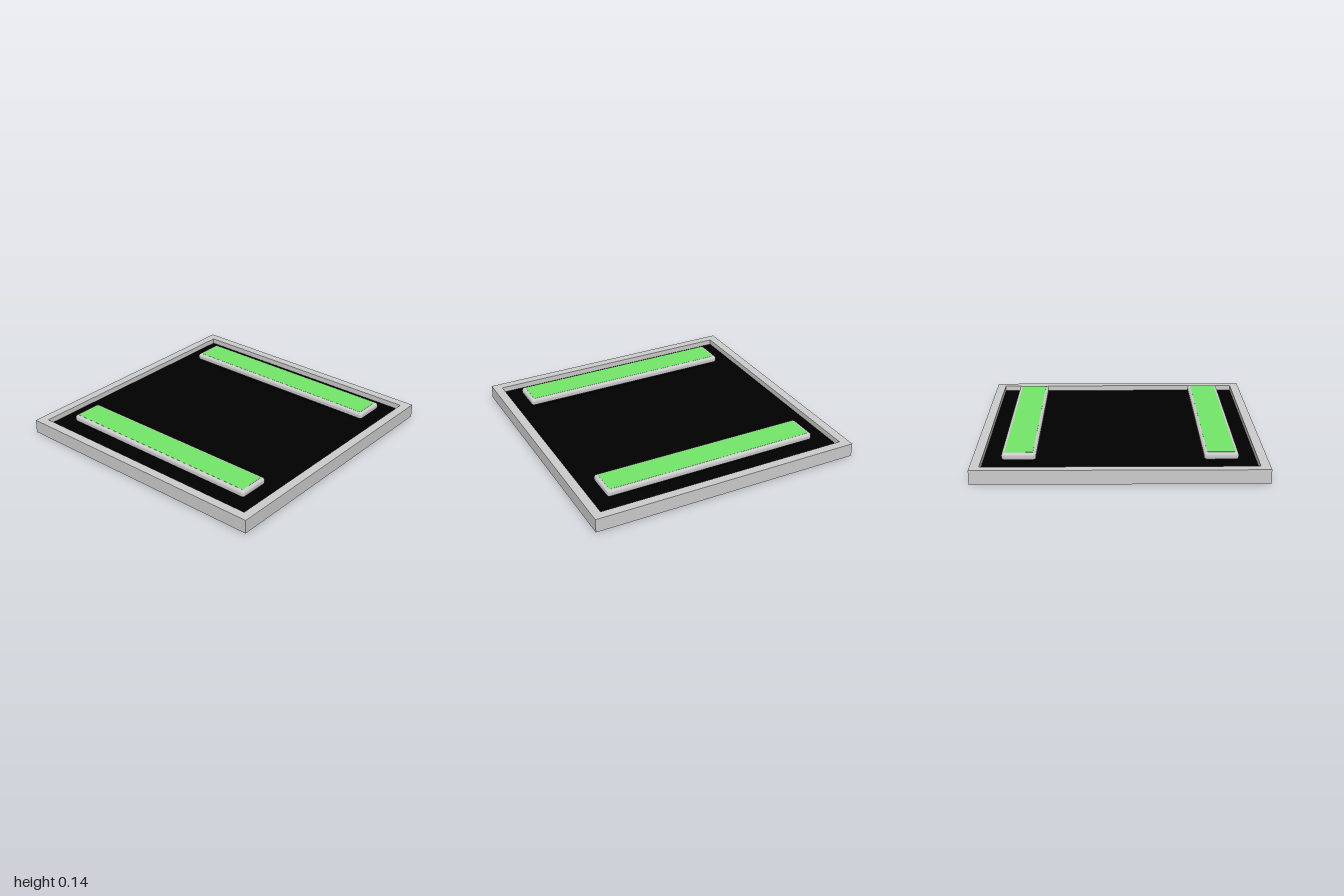
import * as THREE from 'three';

const grey = new THREE.MeshStandardMaterial({ color: 0xcccccc });
const black = new THREE.MeshStandardMaterial({ color: 0x000000 });
const green = new THREE.MeshStandardMaterial({ color: 0x73e668 });

// Rectangle outline with optional rounded corners
function rect(Type, w, d, r = 0) {
  const p = new Type(), x = w / 2, y = d / 2;
  p.moveTo(-x + r, -y);
  p.lineTo(x - r, -y);
  if (r) p.absarc(x - r, -y + r, r, -Math.PI / 2, 0);
  p.lineTo(x, y - r);
  if (r) p.absarc(x - r, y - r, r, 0, Math.PI / 2);
  p.lineTo(-x + r, y);
  if (r) p.absarc(-x + r, y - r, r, Math.PI / 2, Math.PI);
  p.lineTo(-x, -y + r);
  if (r) p.absarc(-x + r, -y + r, r, Math.PI, Math.PI * 1.5);
  p.closePath();
  return p;
}

function add(parent, name, geometry, material, x, y, z) {
  const mesh = new THREE.Mesh(geometry, material);
  mesh.name = name;
  mesh.position.set(x, y, z);
  parent.add(mesh);
  return mesh;
}

export function createModel() {
  const model = new THREE.Group();
  model.name = 'lightPanel';
  const height = 0.1, floorY = 0.06, inner = 1.87;

  // Square tray: raised rim around a solid base
  const rimShape = rect(THREE.Shape, 2, 2);
  rimShape.holes.push(rect(THREE.Path, inner, inner));
  const rim = new THREE.ExtrudeGeometry(rimShape, { depth: height, bevelEnabled: false });
  rim.rotateX(-Math.PI / 2);
  add(model, 'rim', rim, grey, 0, 0, 0);
  add(model, 'base', new THREE.BoxGeometry(inner, floorY - 0.002, inner), grey, 0, (floorY - 0.002) / 2, 0);

  // Dark floor of the tray
  const floor = new THREE.PlaneGeometry(inner, inner).rotateX(-Math.PI / 2);
  add(model, 'floor', floor, black, 0, floorY, 0);

  // Two softly edged light bars with green lenses
  const width = 0.236, length = 1.61, bevel = 0.018, top = 0.138, bottom = 0.088;
  const barShape = rect(THREE.Shape, width - 2 * bevel, length - 2 * bevel, 0.003);
  const barGeo = new THREE.ExtrudeGeometry(barShape, {
    depth: top - bottom - 2 * bevel, bevelThickness: bevel, bevelSize: bevel, bevelSegments: 4, curveSegments: 3,
  });
  barGeo.rotateX(-Math.PI / 2);
  const lensGeo = new THREE.BoxGeometry(0.192, 0.004, 1.56);
  const footGeo = new THREE.BoxGeometry(width - 0.08, bottom - floorY + 0.01, length - 0.08);

  for (const [side, x] of [['right', -0.689], ['left', 0.685]]) {
    const bar = new THREE.Group();
    bar.name = side + 'LightBar';
    bar.position.set(x, 0, 0.018);
    add(bar, side + 'Housing', barGeo, grey, 0, bottom + bevel, 0);
    add(bar, side + 'Lens', lensGeo, green, 0, top - 0.001, 0);
    add(bar, side + 'Foot', footGeo, black, 0, (floorY + bottom) / 2, 0);
    model.add(bar);
  }
  return model;
}
